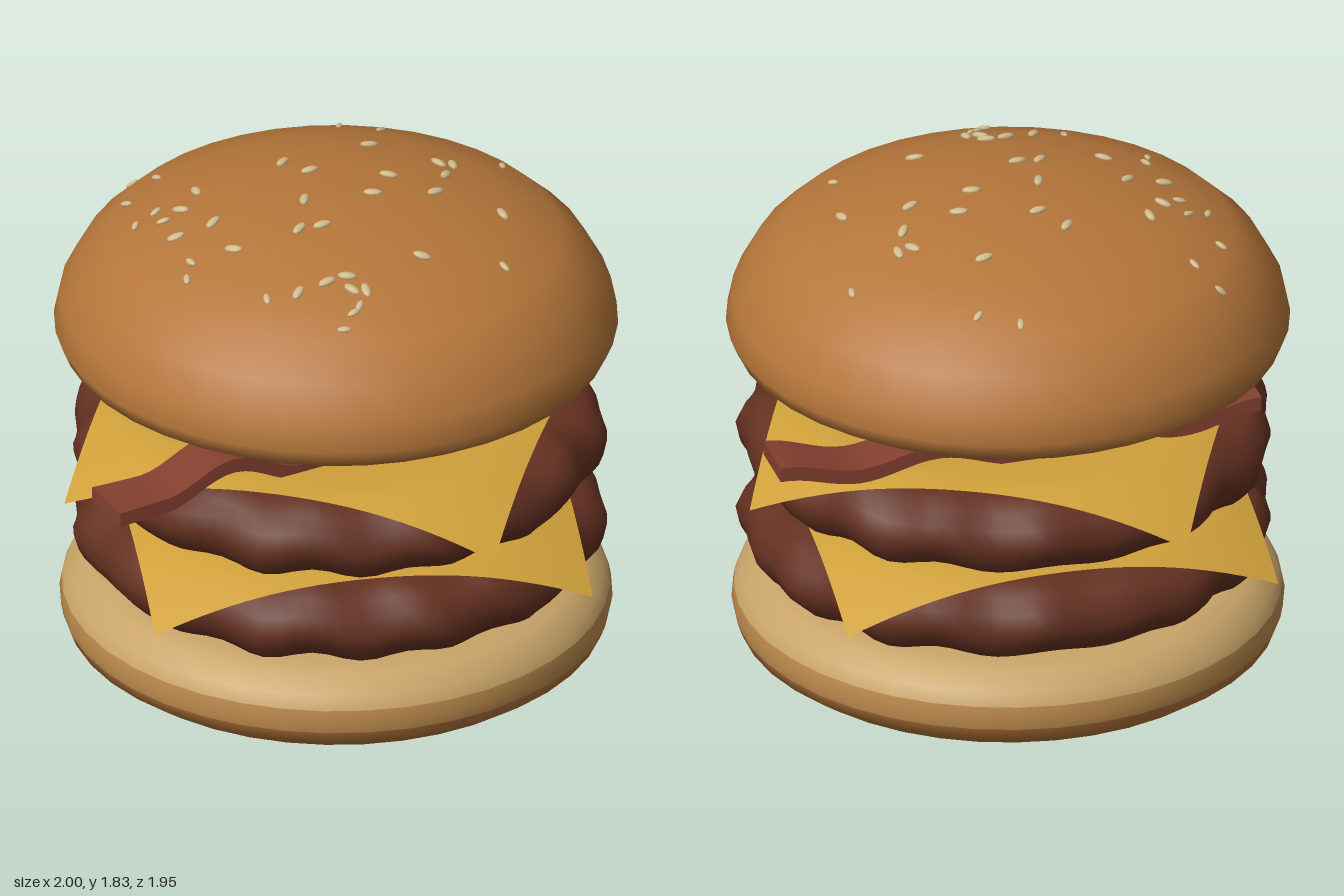
import * as THREE from 'three';
import { mergeVertices } from 'three/addons/utils/BufferGeometryUtils.js';

const MID_Z = -0.025; // the stack sits slightly behind centre
const DEPTH = 0.957; // buns and patties are a little oval

const paint = (color, extra = {}) => new THREE.MeshStandardMaterial({ color, ...extra });
const crust = paint(0xb5763a);
const crustMid = paint(0xbf8c4e);
const crumb = paint(0xc8a468);
const meat = paint(0x643121);
const cheese = paint(0xcfa03a, { side: THREE.DoubleSide });
const baconMat = paint(0x84402f);
const seedMat = paint(0xd0ba8c);

const points = (list) => list.map(([r, y]) => new THREE.Vector2(r, y));

function addMesh(parent, name, geometry, material) {
  const mesh = new THREE.Mesh(geometry, material);
  mesh.name = name;
  parent.add(mesh);
  return mesh;
}

// Oval turned part, profile running from bottom to top
function turned(parent, name, profile, material) {
  const mesh = addMesh(parent, name, new THREE.LatheGeometry(points(profile), 40), material);
  mesh.scale.z = DEPTH;
  return mesh;
}

const topProfile = [
  [0, 1.155], [0.6, 1.155], [0.74, 1.162], [0.895, 1.2], [0.975, 1.25], [1, 1.31], [0.98, 1.41],
  [0.91, 1.54], [0.8, 1.645], [0.62, 1.72], [0.4, 1.785], [0.2, 1.815], [0, 1.822],
];

// Height of the top bun's dome at radius r
function domeHeight(r) {
  for (let i = topProfile.length - 1; i > 5; i--) {
    const [r0, y0] = topProfile[i];
    const [r1, y1] = topProfile[i - 1];
    if (r <= r1) return y0 + ((y1 - y0) * (r - r0)) / (r1 - r0);
  }
  return 1.31;
}

// Lumpy disc of meat
function patty(y, phase) {
  const profile = [
    [0, 0], [0.5, 0], [0.78, 0.005], [0.87, 0.04], [0.925, 0.1], [0.94, 0.16],
    [0.92, 0.22], [0.875, 0.27], [0.79, 0.3], [0.5, 0.31], [0, 0.31],
  ];
  let geo = new THREE.LatheGeometry(points(profile), 96);
  const p = geo.attributes.position;
  for (let i = 0; i < p.count; i++) {
    const x = p.getX(i), h = p.getY(i), z = p.getZ(i);
    const r = Math.hypot(x, z);
    const a = Math.atan2(z, x) + phase;
    const rim = THREE.MathUtils.smoothstep(r, 0.5, 0.9);
    const lump = 0.012 * Math.sin(11 * a + 9 * h) + 0.009 * Math.sin(18 * a - 6 * h + 1);
    const k = 1 + rim * lump;
    p.setXYZ(i, x * k, h + rim * 0.012 * Math.sin(15 * a + 2), z * k);
  }
  // weld the seam so the shading stays smooth
  geo.deleteAttribute('uv');
  geo.deleteAttribute('normal');
  geo = mergeVertices(geo, 1e-4);
  geo.computeVertexNormals();
  geo.translate(0.008, y, 0);
  geo.scale(1, 1, DEPTH);
  return geo;
}

// Square slice whose corners sag over the patty
function cheeseSlice(y, turn) {
  const geo = new THREE.PlaneGeometry(1.574, 1.574, 24, 24).rotateX(-Math.PI / 2);
  const p = geo.attributes.position;
  for (let i = 0; i < p.count; i++) {
    const over = Math.max(0, Math.hypot(p.getX(i), p.getZ(i)) - 0.75) / 0.363;
    p.setY(i, y - 0.165 * Math.pow(over, 1.3));
  }
  geo.computeVertexNormals();
  return geo.rotateY(turn);
}

// Wavy strip from one end point to the other, height given by wave(s)
function baconStrip(from, to, wave) {
  const dx = to[0] - from[0], dz = to[1] - from[1];
  const length = Math.hypot(dx, dz);
  const geo = new THREE.BoxGeometry(length, 0.055, 0.21, 48, 1, 4);
  const p = geo.attributes.position;
  for (let i = 0; i < p.count; i++) {
    const s = p.getX(i) + length / 2;
    const across = p.getZ(i) / 0.105;
    p.setY(i, p.getY(i) + wave(s) + 0.008 * across * Math.sin(5 * s));
  }
  geo.computeVertexNormals();
  geo.rotateY(-Math.atan2(dz, dx));
  return geo.translate((from[0] + to[0]) / 2, 0, (from[1] + to[1]) / 2);
}

// x, z of each sesame seed
const seedSpots = [
  -0.02, -0.74, 0.13, -0.7, 0.1, -0.44, -0.74, -0.41, -0.65, -0.34, 0.57, -0.49, -0.2, -0.26,
  -0.1, -0.18, 0.18, -0.17, 0.35, -0.34, 0.4, -0.35, 0.38, -0.24, 0.35, -0.09, 0.13, -0.03,
  -0.75, -0.18, -0.5, -0.12, -0.71, 0.01, -0.64, -0.04, -0.61, 0.04, -0.55, -0.01, 0.59, -0.05,
  -0.11, 0.03, -0.43, 0.12, -0.56, 0.16, -0.35, 0.29, -0.5, 0.32, -0.51, 0.4, -0.12, 0.21,
  -0.04, 0.19, 0.32, 0.31, 0.61, 0.26, -0.22, 0.55, -0.11, 0.53, -0.01, 0.48, 0.06, 0.45,
  0.08, 0.51, 0.13, 0.51, 0.11, 0.58, 0.09, 0.61, 0.06, 0.68,
];

function addSeeds(parent) {
  const seeds = new THREE.Group();
  seeds.name = 'sesameSeeds';
  const shape = new THREE.SphereGeometry(1, 10, 6).scale(0.017, 0.012, 0.035);
  const up = new THREE.Vector3(0, 1, 0);
  for (let i = 0; i < seedSpots.length; i += 2) {
    const x = seedSpots[i], z = seedSpots[i + 1] - MID_Z;
    const r = Math.hypot(x, z / DEPTH);
    const slope = (domeHeight(r - 0.03) - domeHeight(r + 0.03)) / 0.06;
    const normal = new THREE.Vector3((x / r) * slope, 1, (z / r) * slope).normalize();
    const seed = addMesh(seeds, 'sesameSeed', shape, seedMat);
    seed.position.set(x, domeHeight(r) + 0.004, z);
    seed.quaternion.setFromUnitVectors(up, normal);
    seed.rotateY(i * 1.27);
    if (r > 0.6) seed.scale.setScalar(0.75);
  }
  parent.add(seeds);
}

export function createModel() {
  const burger = new THREE.Group();
  burger.name = 'burger';
  const stack = new THREE.Group();
  stack.name = 'stack';
  stack.position.z = MID_Z;
  burger.add(stack);

  // Bottom bun: browned base fading to a pale cut top
  turned(stack, 'bottomBunCrust',
    [[0, 0], [0.7, 0.005], [0.77, 0.015], [0.88, 0.045], [0.955, 0.1], [0.972, 0.145]], crust);
  turned(stack, 'bottomBunSide', [[0.972, 0.145], [0.98, 0.19], [0.972, 0.235]], crustMid);
  turned(stack, 'bottomBunTop',
    [[0.972, 0.235], [0.95, 0.285], [0.89, 0.335], [0.82, 0.352], [0.7, 0.355], [0, 0.355]], crumb);

  // Two layers of meat and cheese
  addMesh(stack, 'lowerPatty', patty(0.358, 0), meat);
  addMesh(stack, 'lowerCheese', cheeseSlice(0.7, 0.215), cheese);
  addMesh(stack, 'upperPatty', patty(0.7, 0), meat);
  addMesh(stack, 'upperCheese', cheeseSlice(1.035, -0.215), cheese);

  // Crossed bacon strips
  const longWave = (s) => 1.085 + 0.045 * Math.cos((2 * Math.PI * (Math.max(s, 0.18) - 0.46)) / 0.56);
  const shortWave = (s) => 1.09 + 0.03 * Math.cos((2 * Math.PI * s) / 0.595);
  addMesh(burger, 'longBacon', baconStrip([-0.775, 0.88], [0.82, -0.07], longWave), baconMat);
  addMesh(burger, 'shortBacon', baconStrip([0.86, -0.72], [-0.86, -0.27], shortWave), baconMat);

  // Top bun and its seeds
  turned(stack, 'topBun', topProfile, crust);
  addSeeds(stack);
  return burger;
}
